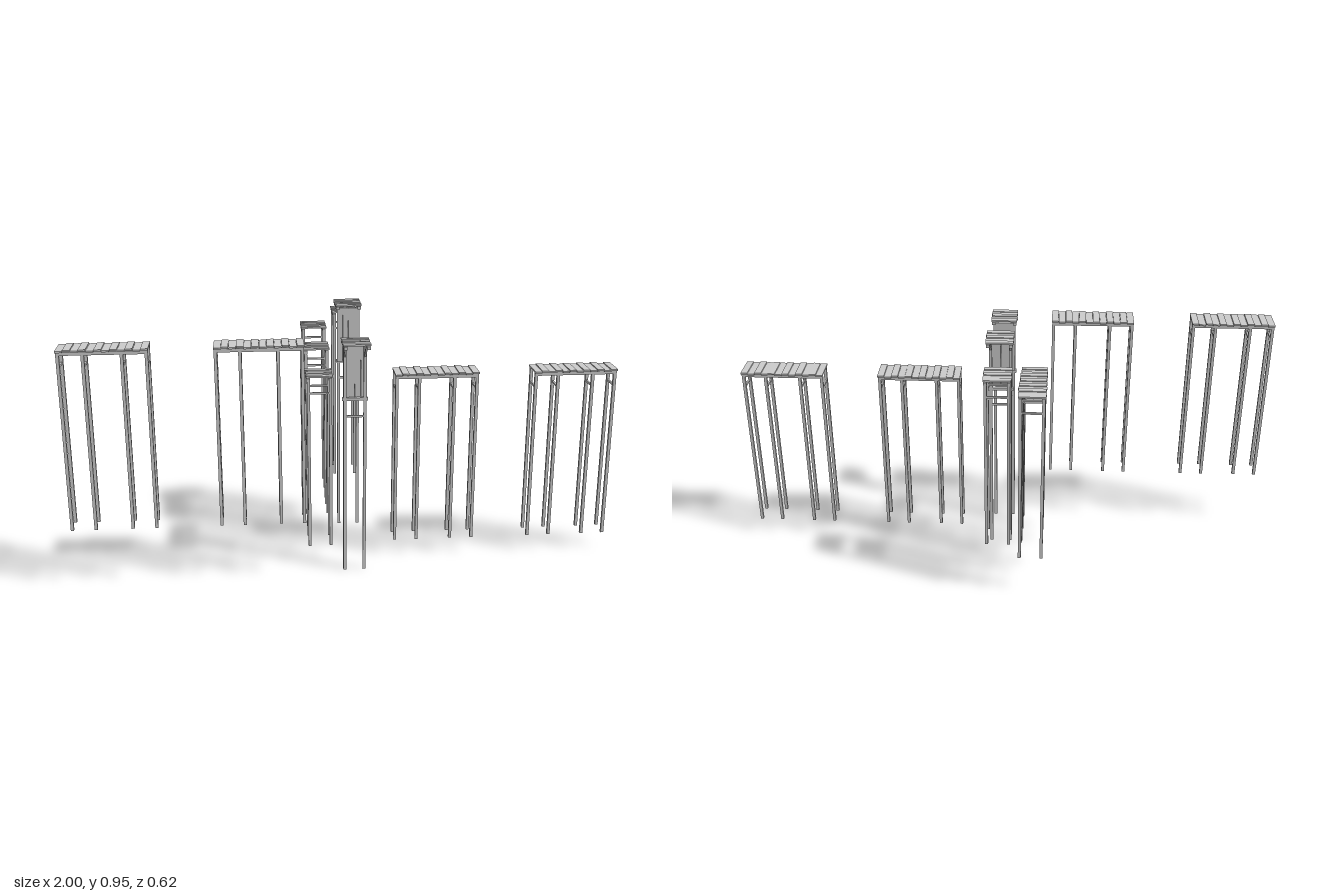
import * as THREE from 'three';

const material = new THREE.MeshStandardMaterial({ color: 0xcccccc, flatShading: true });

// Adds a named box given its size and centre
function box(parent, name, [w, h, d], [x, y, z]) {
  const mesh = new THREE.Mesh(new THREE.BoxGeometry(w, h, d), material);
  mesh.name = name;
  mesh.position.set(x, y, z);
  parent.add(mesh);
  return mesh;
}

function group(name, x, y, z) {
  const g = new THREE.Group();
  g.name = name;
  g.position.set(x, y, z);
  return g;
}

// Every stand is built downwards from its top surface at y = 0
const LEG = 0.011;
const wobble = [0, 0.003, 0.001, 0.004, 0, 0.003];

// Long walkway: planks across two beams, four pairs of legs
function walkway(x, y, z) {
  const g = group('walkway', x, y, z);
  const count = 12, pitch = 0.31 / count;
  for (let i = 0; i < count; i++) {
    const w = wobble[i % 6];
    box(g, 'deckPlank', [pitch - 0.001, 0.006, 0.104 - w / 2],
      [-0.155 + pitch * (i + 0.5), -0.007 + w, 0]);
  }
  for (const side of [-1, 1]) {
    box(g, 'deckBeam', [0.306, 0.012, 0.011], [0, -0.016, side * 0.036]);
  }
  for (const lx of [-0.148, -0.065, 0.065, 0.148]) {
    for (const side of [-1, 1]) {
      box(g, 'leg', [LEG, 0.651, LEG], [lx, -0.3355, side * 0.036]);
    }
    box(g, 'legRail', [0.006, 0.007, 0.072], [lx, -0.066, 0]);
  }
  return g;
}

// Square deck shared by both kinds of tower
function squareDeck(g) {
  const count = 5, pitch = 0.108 / count;
  for (let i = 0; i < count; i++) {
    const w = wobble[i + 1];
    box(g, 'deckPlank', [0.1 - w, 0.006, pitch - 0.001],
      [0, -0.007 + w, -0.054 + pitch * (i + 0.5)]);
  }
  for (const side of [-1, 1]) {
    box(g, 'deckBeam', [0.012, 0.011, 0.108], [side * 0.04, -0.0145, 0]);
  }
}

// Tower on four corner legs
function tower(x, y, z) {
  const g = group('tower', x, y, z);
  squareDeck(g);
  for (const sz of [-1, 1]) {
    for (const sx of [-1, 1]) {
      box(g, 'leg', [LEG, 0.656, LEG], [sx * 0.04, -0.341, sz * 0.048]);
    }
    box(g, 'legRail', [0.08, 0.007, 0.006], [0, -0.066, sz * 0.048]);
  }
  return g;
}

// Tower on two legs, with a boarded wall and a braced overhanging deck
function wallTower(x, y, z, turned) {
  const g = group('wallTower', x, y, z);
  squareDeck(g);
  for (const sx of [-1, 1]) {
    box(g, 'leg', [LEG, 0.87, LEG], [sx * 0.036, -0.45, 0.031]);
    const brace = box(g, 'deckBrace', [0.007, 0.074, 0.007], [sx * 0.036, -0.041, 0.007]);
    brace.rotation.x = -Math.PI / 4;
  }
  for (let i = 0; i < 4; i++) {
    const h = 0.206 - wobble[i] * 2;
    box(g, 'wallBoard', [0.0205, h, 0.007], [-0.0315 + i * 0.021, -0.015 - h / 2, 0.04 + wobble[i] / 2]);
  }
  box(g, 'wallSill', [0.092, 0.011, 0.013], [0, -0.22, 0.031]);
  box(g, 'legRail', [0.072, 0.007, 0.006], [0, -0.285, 0.031]);
  if (turned) g.rotation.y = Math.PI;
  return g;
}

export function createModel() {
  const model = new THREE.Group();
  model.name = 'platforms';

  // Two walkways on each side
  for (const x of [-0.845, -0.318]) model.add(walkway(x, 0.886, 0.257));
  for (const x of [0.329, 0.845]) model.add(walkway(x, 0.726, 0.083));

  // Stepped towers in the middle
  model.add(tower(-0.103, 0.726, 0.083));
  model.add(tower(-0.103, 0.784, -0.09));
  model.add(tower(-0.103, 0.827, -0.256));
  model.add(tower(0.017, 0.886, -0.256));

  // Walled towers, facing opposite ways
  model.add(wallTower(0.017, 0.949, -0.088, false));
  model.add(wallTower(0.017, 0.885, 0.257, true));
  return model;
}
